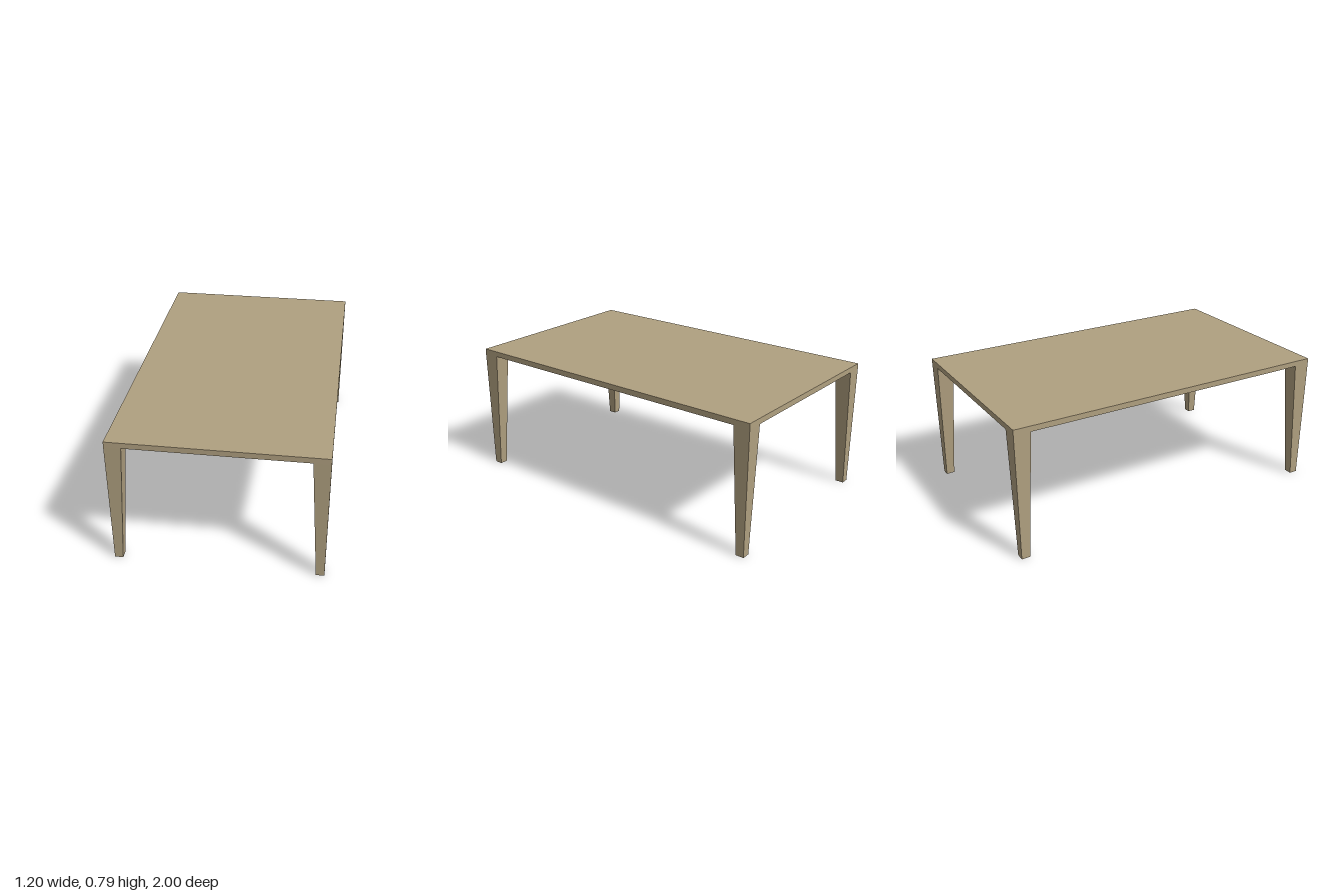
import * as THREE from 'three';

const TOP = 0.788, UNDER = 0.755;

// Tapered leg: every box corner is moved to its place on the foot or on the tabletop underside
function legGeometry(sx, sz) {
  const geo = new THREE.BoxGeometry(1, 1, 1);
  const p = geo.attributes.position;
  for (let i = 0; i < p.count; i++) {
    const up = p.getY(i) > 0;
    const outerX = p.getX(i) * sx > 0, outerZ = p.getZ(i) * sz > 0;
    const x = up ? (outerX ? 0.6 : 0.505) : (outerX ? 0.598 : 0.55);
    const z = up ? (outerZ ? 1 : 0.9) : (outerZ ? 0.99 : 0.94);
    p.setXYZ(i, sx * x, up ? UNDER : 0, sz * z);
  }
  geo.computeVertexNormals();
  return geo;
}

export function createModel() {
  const model = new THREE.Group();
  model.name = 'table';
  const wood = new THREE.MeshStandardMaterial({ color: 0xb0a080 });
  wood.name = 'light wood';

  // Tabletop slab
  const top = new THREE.Mesh(new THREE.BoxGeometry(1.2, TOP - UNDER, 2), wood);
  top.name = 'tabletop';
  top.position.y = (TOP + UNDER) / 2;
  model.add(top);

  // Four corner legs
  for (const [sx, side] of [[1, 'Left'], [-1, 'Right']]) {
    for (const [sz, end] of [[1, 'front'], [-1, 'back']]) {
      const leg = new THREE.Mesh(legGeometry(sx, sz), wood);
      leg.name = `${end}${side}Leg`;
      model.add(leg);
    }
  }
  return model;
}
